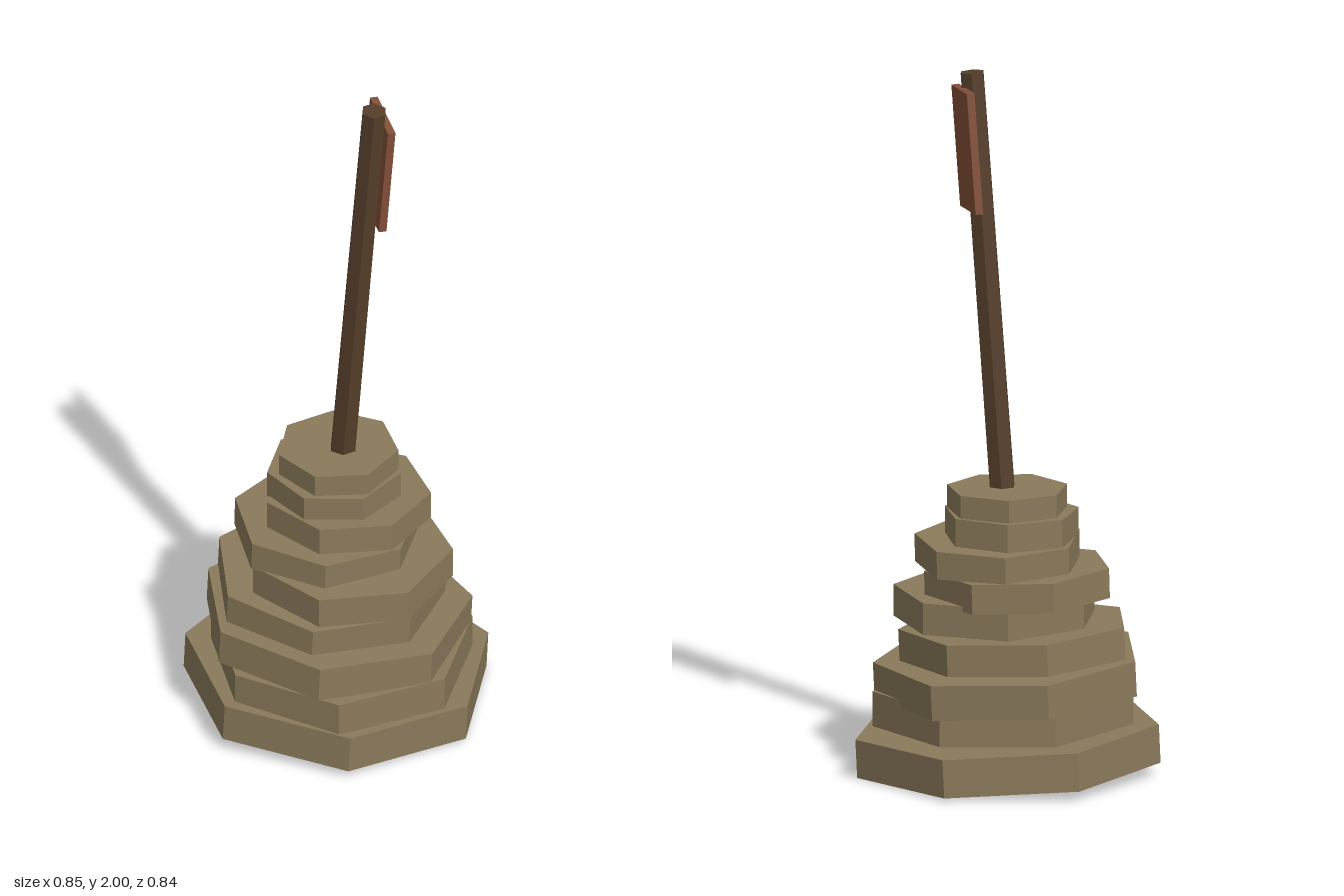
import * as THREE from 'three';

export function createModel() {
  const model = new THREE.Group();
  const material = (name, color) => {
    const m = new THREE.MeshStandardMaterial({ color, flatShading: true });
    m.name = name;
    return m;
  };
  const stone = material('stone', 0x8b7a5b);
  const wood = material('dark wood', 0x553e2a);
  const rust = material('rust red', 0x84503a);

  // Pile of seven-sided slabs: x, y, z, radius, thickness, corner angle (degrees), tilt x, tilt z
  const slabs = [
    [0.007, 0.079, -0.015, 0.436, 0.11, 86, -0.01, -0.045],
    [0.015, 0.186, 0.025, 0.375, 0.1, 91, 0, -0.01],
    [0.0, 0.28, 0.005, 0.382, 0.1, 97, -0.03, -0.045],
    [-0.02, 0.38, -0.02, 0.33, 0.09, 98, 0.02, -0.045],
    [0.038, 0.475, 0.018, 0.29, 0.09, 107, 0, 0],
    [-0.025, 0.552, -0.03, 0.266, 0.085, 91, 0, -0.03],
    [0.03, 0.638, -0.032, 0.237, 0.08, 108.7, -0.04, -0.005],
    [-0.005, 0.715, -0.038, 0.192, 0.08, 64.7, 0, 0],
    [0.005, 0.785, -0.038, 0.172, 0.07, -94, 0, 0],
  ];
  const pile = new THREE.Group();
  pile.name = 'stonePile';
  slabs.forEach(([x, y, z, r, h, corner, tiltX, tiltZ], i) => {
    const start = Math.PI / 2 - THREE.MathUtils.degToRad(corner);
    const slab = new THREE.Mesh(new THREE.CylinderGeometry(r, r, h, 7, 1, false, start), stone);
    slab.name = `slab${i + 1}`;
    slab.position.set(x, y, z);
    slab.rotation.set(tiltX, 0, tiltZ);
    pile.add(slab);
  });
  model.add(pile);

  // Leaning post with its panel, both built along the post axis
  const foot = new THREE.Vector3(0.013, 0.72, -0.03);
  const head = new THREE.Vector3(0.107, 1.996, 0.03);
  const length = head.distanceTo(foot);
  const post = new THREE.Group();
  post.name = 'post';
  post.position.copy(foot);
  post.quaternion.setFromUnitVectors(
    new THREE.Vector3(0, 1, 0),
    head.clone().sub(foot).normalize()
  );

  const pole = new THREE.Mesh(new THREE.CylinderGeometry(0.036, 0.039, length, 6), wood);
  pole.name = 'pole';
  pole.position.y = length / 2;
  post.add(pole);

  const panel = new THREE.Mesh(new THREE.BoxGeometry(0.022, 0.345, 0.172), rust);
  panel.name = 'panel';
  panel.position.set(0.027, 1.068, -0.036);
  panel.rotation.y = 0.3;
  post.add(panel);
  model.add(post);

  return model;
}
